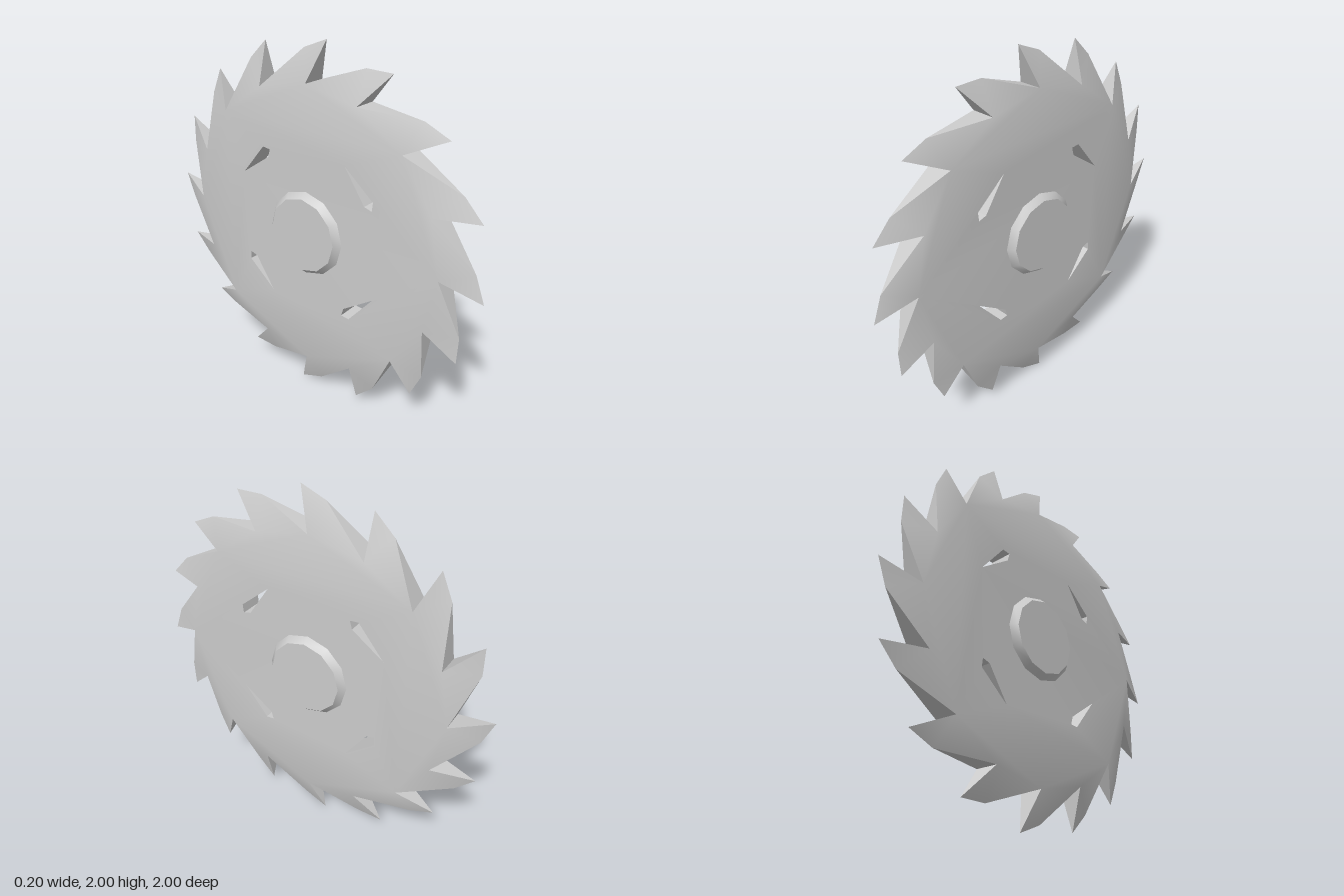
import * as THREE from 'three';
import { toCreasedNormals } from 'three/addons/utils/BufferGeometryUtils.js';

const TEETH = 16, HALF = 0.065, CREASE = 0.6;
const material = new THREE.MeshStandardMaterial({ color: 0xcccccc });

// Rotate a 2D point clockwise about the blade centre
const turn = ([x, y], a) => new THREE.Vector2(
  x * Math.cos(a) + y * Math.sin(a), y * Math.cos(a) - x * Math.sin(a));

function bladeGeometry() {
  const pos = [];
  const at = (p, z) => [p.x, p.y, z];
  const tri = (a, b, c) => pos.push(...a, ...b, ...c);
  // The same triangle on both sides of the blade
  const both = (a, za, b, zb, c, zc) => {
    tri(at(a, za), at(b, zb), at(c, zc));
    tri(at(a, -za), at(c, -zc), at(b, -zb));
  };

  // Flat disc between the tooth roots, with four kite-shaped slots
  const step = (Math.PI * 2) / TEETH;
  const roots = Array.from({ length: TEETH }, (_, i) => turn([0, 0.79], i * step));
  const kite = [[-0.243, 0.434], [-0.415, 0.29], [-0.41, 0.242], [-0.365, 0.255]];
  const slots = [0, 1, 2, 3].map(q => kite.map(p => turn(p, q * Math.PI / 2)));
  const contour = [...roots].reverse();
  const flat = [contour, ...slots].flat();
  for (const [a, b, c] of THREE.ShapeUtils.triangulateShape(contour, slots)) {
    both(flat[a], HALF, flat[b], HALF, flat[c], HALF);
  }

  // Slot walls
  for (const slot of slots) {
    slot.forEach((a, i) => {
      const b = slot[(i + 1) % slot.length];
      tri(at(a, -HALF), at(a, HALF), at(b, HALF));
      tri(at(a, -HALF), at(b, HALF), at(b, -HALF));
    });
  }

  // Raked teeth thinning to a sharp ridge on the mid-plane
  roots.forEach((root, i) => {
    const next = roots[(i + 1) % TEETH];
    const tip = turn([-0.078, 0.998], i * step);
    const heel = turn([0.06, 0.945], i * step);
    both(root, HALF, heel, 0, tip, 0);
    both(root, HALF, next, HALF, heel, 0);
    tri(at(tip, 0), at(root, -HALF), at(root, HALF));
    tri(at(heel, 0), at(next, HALF), at(next, -HALF));
  });

  const geometry = new THREE.BufferGeometry();
  geometry.setAttribute('position', new THREE.Float32BufferAttribute(pos, 3));
  geometry.rotateY(Math.PI / 2);
  return toCreasedNormals(geometry, CREASE);
}

export function createModel() {
  const group = new THREE.Group();
  group.name = 'sawBlade';

  const blade = new THREE.Mesh(bladeGeometry(), material);
  blade.name = 'toothedDisc';
  blade.position.y = 1;
  group.add(blade);

  // Bevelled twelve-sided hub on each face
  const hubGeometry = toCreasedNormals(new THREE.CylinderGeometry(0.205, 0.235, 0.035, 12), CREASE);
  for (const side of [1, -1]) {
    const hub = new THREE.Mesh(hubGeometry, material);
    hub.name = side > 0 ? 'leftHub' : 'rightHub';
    hub.rotation.z = -side * Math.PI / 2;
    hub.position.set(side * (HALF + 0.0175), 1, 0);
    group.add(hub);
  }
  return group;
}
